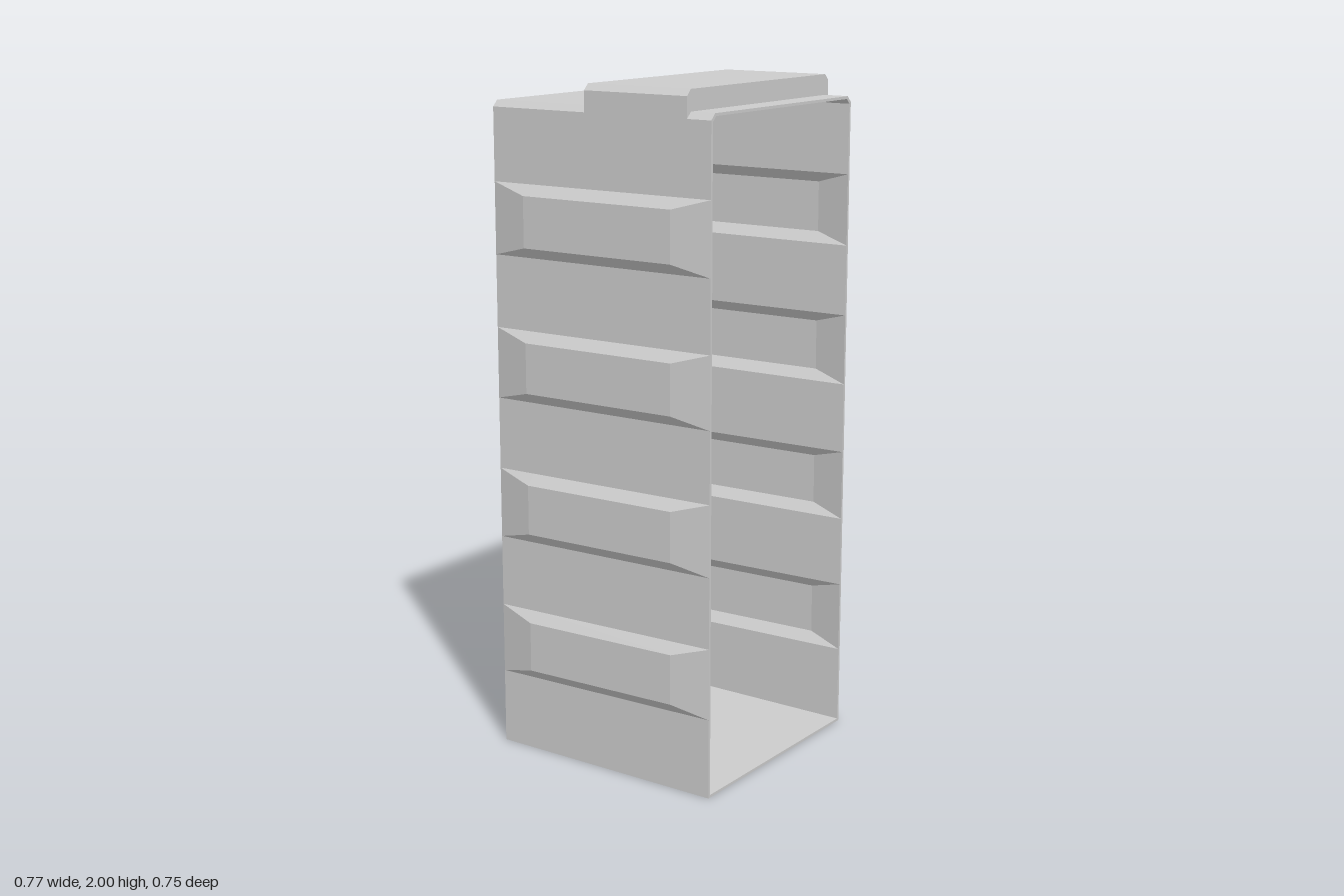
import * as THREE from 'three';

const W = 0.36, D = 0.375, T = 0.008;      // half width, half depth, sheet thickness
const SHOULDER = 1.92, LOW = 1.94, HIGH = 2.0, CHAMFER = 0.018;
const BULGE = 0.026;

const material = new THREE.MeshStandardMaterial({ color: 0xcccccc, flatShading: true });

function add(group, name, geometry, z = 0) {
  const mesh = new THREE.Mesh(geometry, material);
  mesh.name = name;
  mesh.position.z = z;
  group.add(mesh);
}

// Outline corners of a chamfered roof section, shrunk inwards by t
function outline(bottom, top, t = 0) {
  const w = W - t, h = top - t, c = CHAMFER - t * 0.4;
  return [[-w, bottom], [w, bottom], [w, h - c], [w - c, h], [-w + c, h], [-w, h - c]]
    .map(([x, y]) => new THREE.Vector2(x, y));
}

const extrude = (points, depth) =>
  new THREE.ExtrudeGeometry(new THREE.Shape(points), { depth, bevelEnabled: false });

// Solid upright plate
const plate = (bottom, top) => extrude(outline(bottom, top), T);

// Hollow arch running along z
function arch(bottom, top, depth) {
  const o = outline(bottom, top), i = outline(bottom, top, T);
  return extrude([o[1], o[2], o[3], o[4], o[5], o[0], i[0], i[5], i[4], i[3], i[2], i[1]], depth);
}

// Columns of the pressed side wall, front to back: [z, share of bulge]
const columns = [[D, 0], [0.26, 1], [-0.25, 1], [-D, 0]];

// Rows of one column as [depth, y]; the four ribs drop slightly to the back
function wallColumn([z, share]) {
  const rows = [[0, 0]];
  for (let i = 0; i < 4; i++) {
    const drop = (0.013 - 0.0035 * i) * (D - z) / (2 * D);
    const low = 0.238 + 0.421 * i - drop, high = 0.449 + 0.421 * i - drop;
    const inset = 0.031 * share;
    rows.push([0, low], [BULGE * share, low + inset], [BULGE * share, high - inset], [0, high]);
  }
  rows.push([0, SHOULDER]);
  return rows.map(([d, y]) => new THREE.Vector3(W + d, y, z));
}

// Both skins of a side wall with its front rim; side is +1 or -1
function sideWall(side) {
  const positions = [];
  const tri = (a, b, c) => {
    if (new THREE.Triangle(a, b, c).getArea() < 1e-8) return;
    for (const p of side > 0 ? [a, b, c] : [a, c, b]) positions.push(p.x * side, p.y, p.z);
  };
  const quad = (a, b, c, d) => { tri(a, b, c); tri(a, c, d); };
  const outer = columns.map(wallColumn);
  const inner = outer.map(col => col.map(p => p.clone().setX(p.x - T)));
  for (let r = 0; r < outer[0].length - 1; r++) {
    for (let c = 0; c < 3; c++) {
      quad(outer[c][r], outer[c + 1][r], outer[c + 1][r + 1], outer[c][r + 1]);
      quad(inner[c][r], inner[c][r + 1], inner[c + 1][r + 1], inner[c + 1][r]);
    }
    quad(inner[0][r], outer[0][r], outer[0][r + 1], inner[0][r + 1]);
  }
  const geometry = new THREE.BufferGeometry();
  geometry.setAttribute('position', new THREE.Float32BufferAttribute(positions, 3));
  geometry.computeVertexNormals();
  return geometry;
}

export function createModel() {
  const model = new THREE.Group();
  model.name = 'ribbedCase';

  // Pressed walls, back and floor; the front stays open
  add(model, 'leftWall', sideWall(1));
  add(model, 'rightWall', sideWall(-1));
  add(model, 'backWall', plate(0, LOW), -D);
  add(model, 'floor', new THREE.BoxGeometry(2 * W, T, 2 * D).translate(0, T / 2, 0));

  // Stepped roof: front lip, raised middle, low rear
  const front = 0.297, rear = -0.048;
  add(model, 'frontLip', arch(SHOULDER, LOW, D - front), front);
  add(model, 'raisedRoof', arch(SHOULDER, HIGH, front - rear), rear);
  add(model, 'rearRoof', arch(SHOULDER, LOW, rear + D), -D);
  add(model, 'frontRiser', plate(LOW - CHAMFER, HIGH), front - T);
  add(model, 'rearRiser', plate(LOW - CHAMFER, HIGH), rear);

  return model;
}
